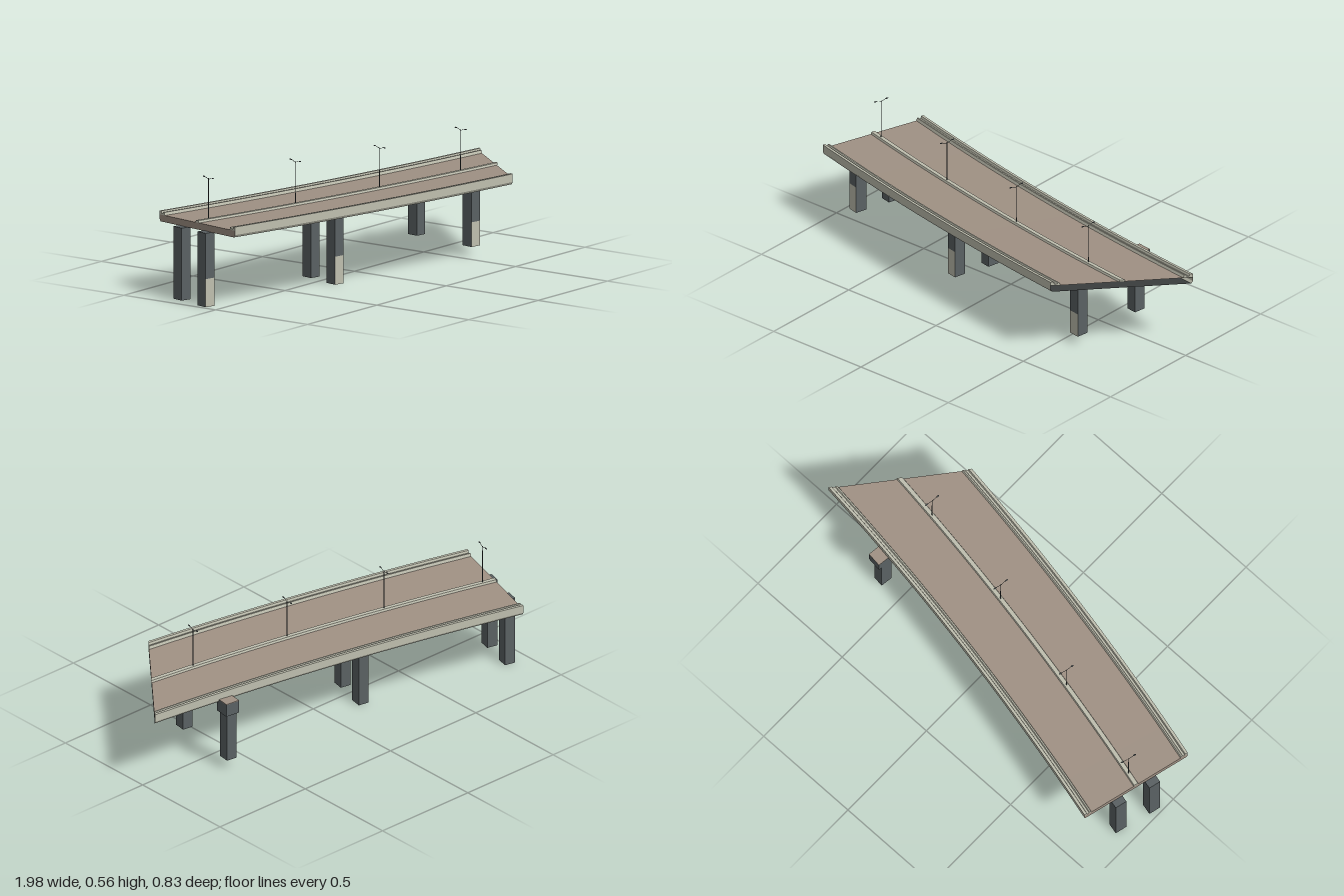
import * as THREE from 'three';

const mat = (name, color, side = THREE.FrontSide) => {
  const m = new THREE.MeshStandardMaterial({ color, side });
  m.name = name;
  return m;
};

// Curved, gently banked road frame: u runs along the bridge, s across it, h up
const START = -0.925, HALF = 0.265;
const endU = (s) => 0.79 - 0.632 * s;
const midZ = (u) => 0.053 + 0.19 * u - 0.04 * u * u;
const slope = (u) => 0.19 - 0.08 * u;
function place(u, s, h) {
  const m = slope(u), l = Math.hypot(1, m);
  return [u - (m / l) * s, 0.3755 + 0.0045 * u + 0.03 * s + h, midZ(u) + s / l];
}

// Sweep an open cross-section [s, h] along the bridge, one strip per edge
function sweep(profile, steps = 28) {
  const pos = [], idx = [];
  for (let i = 0; i < profile.length - 1; i++) {
    const base = pos.length / 3;
    for (let j = 0; j <= steps; j++) {
      for (const [s, h] of [profile[i], profile[i + 1]]) {
        const u = START + (j / steps) * (endU(s) - START);
        pos.push(...place(u, s, h));
      }
      if (j < steps) {
        const a = base + j * 2;
        idx.push(a, a + 1, a + 2, a + 1, a + 3, a + 2);
      }
    }
  }
  return surface(pos, idx);
}

// Flat end face of a cross-section, at the start or the skewed end
function endFace(profile, atStart) {
  const pts = profile.map(([s, h]) => new THREE.Vector2(s, h));
  if (THREE.ShapeUtils.isClockWise(pts) !== atStart) pts.reverse();
  const pos = pts.flatMap((p) => place(atStart ? START : endU(p.x), p.x, p.y));
  // s points to +z, so a clockwise outline in (s, h) faces along +u
  const idx = THREE.ShapeUtils.triangulateShape(pts, []).flat();
  return surface(pos, idx);
}

function surface(pos, idx) {
  const g = new THREE.BufferGeometry();
  g.setAttribute('position', new THREE.Float32BufferAttribute(pos, 3));
  g.setIndex(idx);
  g.computeVertexNormals();
  return g;
}

export function createModel() {
  const root = new THREE.Group();
  root.name = 'roadBridge';
  const concrete = mat('lightConcrete', 0xbfbfaf, THREE.DoubleSide);
  const asphalt = mat('tanRoad', 0xa09184, THREE.DoubleSide);
  const under = mat('darkUnderside', 0x3a3d3d, THREE.DoubleSide);
  const grey = mat('darkGreyPier', 0x5a6163);
  const metal = mat('lampMetal', 0x454c4c);

  const add = (name, geometry, material, parent = root) => {
    const m = new THREE.Mesh(geometry, material);
    m.name = name;
    parent.add(m);
    return m;
  };

  // Deck: road surface, underside and closed near end; the skewed end is open
  const ROAD = -0.017, BASE = -0.047, INNER = 0.228, FOOT = 0.258;
  add('roadSurface', sweep([[-INNER, ROAD], [INNER, ROAD]]), asphalt);
  add('deckUnderside', sweep([[FOOT, BASE], [-FOOT, BASE]]), under);
  add('deckEnd', endFace([[-FOOT, BASE], [FOOT, BASE], [HALF, -0.036], [HALF, ROAD],
    [-HALF, ROAD], [-HALF, -0.036]], true), asphalt);

  // Edge parapets with a shallow channel between outer lip and inner kerb
  const parapet = [[INNER, ROAD], [0.232, -0.004], [0.238, -0.004], [0.241, -0.011],
    [0.25, -0.011], [0.253, 0], [HALF, 0], [HALF, -0.036], [FOOT, BASE]];
  for (const side of [1, -1]) {
    const p = parapet.map(([s, h]) => [s * side, h]);
    if (side < 0) p.reverse();
    const g = new THREE.Group();
    g.name = side > 0 ? 'frontParapet' : 'backParapet';
    root.add(g);
    add('parapetWall', sweep(p), concrete, g);
    const tip = [...parapet.slice(0, 7), [HALF, ROAD]].map(([s, h]) => [s * side, h]);
    add('parapetStartFace', endFace(tip, true), concrete, g);
    add('parapetEndFace', endFace(tip, false), concrete, g);
  }

  // Central reservation
  const median = [[-0.012, ROAD], [-0.009, -0.007], [0.009, -0.007], [0.012, ROAD]];
  add('median', sweep(median), concrete);
  add('medianStartFace', endFace(median, true), concrete);
  add('medianEndFace', endFace(median, false), concrete);

  // Piers: x, z, foot height, top height, height of pale lower front (0 = none)
  const piers = [
    [-0.953, -0.088, 0, 0.328, 0.125], [-0.907, -0.253, 0, 0.322, 0],
    [-0.244, 0.08, 0, 0.335, 0.125], [-0.197, -0.088, 0, 0.33, 0],
    [0.567, 0.208, 0.045, 0.341, 0.11], [0.61, -0.123, 0.045, 0.328, 0],
  ];
  piers.forEach(([x, z, foot, top, pale]) => {
    const g = new THREE.Group();
    g.name = pale ? 'frontPier' : 'backPier';
    g.position.set(x, 0, z);
    g.rotation.y = -slope(x) * 0.9;
    root.add(g);
    const box = (name, y0, y1, material) => {
      add(name, new THREE.BoxGeometry(0.05, y1 - y0, 0.055), material, g).position.y = (y0 + y1) / 2;
    };
    box('pierShaft', foot + pale, top, grey);
    if (pale) box('pierFoot', foot, foot + pale, [grey, grey, grey, concrete, concrete, grey]);
  });

  // Bracket block on the outer back pier, with a tan top
  const cap = new THREE.Group();
  cap.name = 'pierCap';
  cap.position.set(0.618, 0, -0.13);
  cap.rotation.y = -0.12;
  root.add(cap);
  add('capBlock', new THREE.BoxGeometry(0.067, 0.058, 0.073), grey, cap).position.y = 0.306;
  add('capTop', new THREE.BoxGeometry(0.067, 0.003, 0.073), asphalt, cap).position.y = 0.3365;

  // Double-armed street lamps along the median
  [[-0.865, 0.544], [-0.39, 0.553], [0.09, 0.544], [0.57, 0.553]].forEach(([u, top]) => {
    const lamp = new THREE.Group();
    lamp.name = 'streetLamp';
    const [x, y, z] = place(u, 0, -0.008);
    lamp.position.set(x, 0, z);
    lamp.rotation.y = -slope(u);
    root.add(lamp);
    add('lampPole', new THREE.CylinderGeometry(0.0015, 0.0022, top - y, 8), metal, lamp)
      .position.y = (top + y) / 2;
    for (const side of [1, -1]) {
      const curve = new THREE.QuadraticBezierCurve3(
        new THREE.Vector3(0, top - 0.006, 0),
        new THREE.Vector3(0, top + 0.001, side * 0.014),
        new THREE.Vector3(0, top + 0.003, side * 0.028));
      add('lampArm', new THREE.TubeGeometry(curve, 6, 0.001, 6), metal, lamp);
      const head = add('lampHead', new THREE.SphereGeometry(1, 10, 6), grey, lamp);
      head.scale.set(0.0035, 0.0025, 0.008);
      head.position.set(0, top + 0.003, side * 0.031);
    }
  });
  return root;
}
